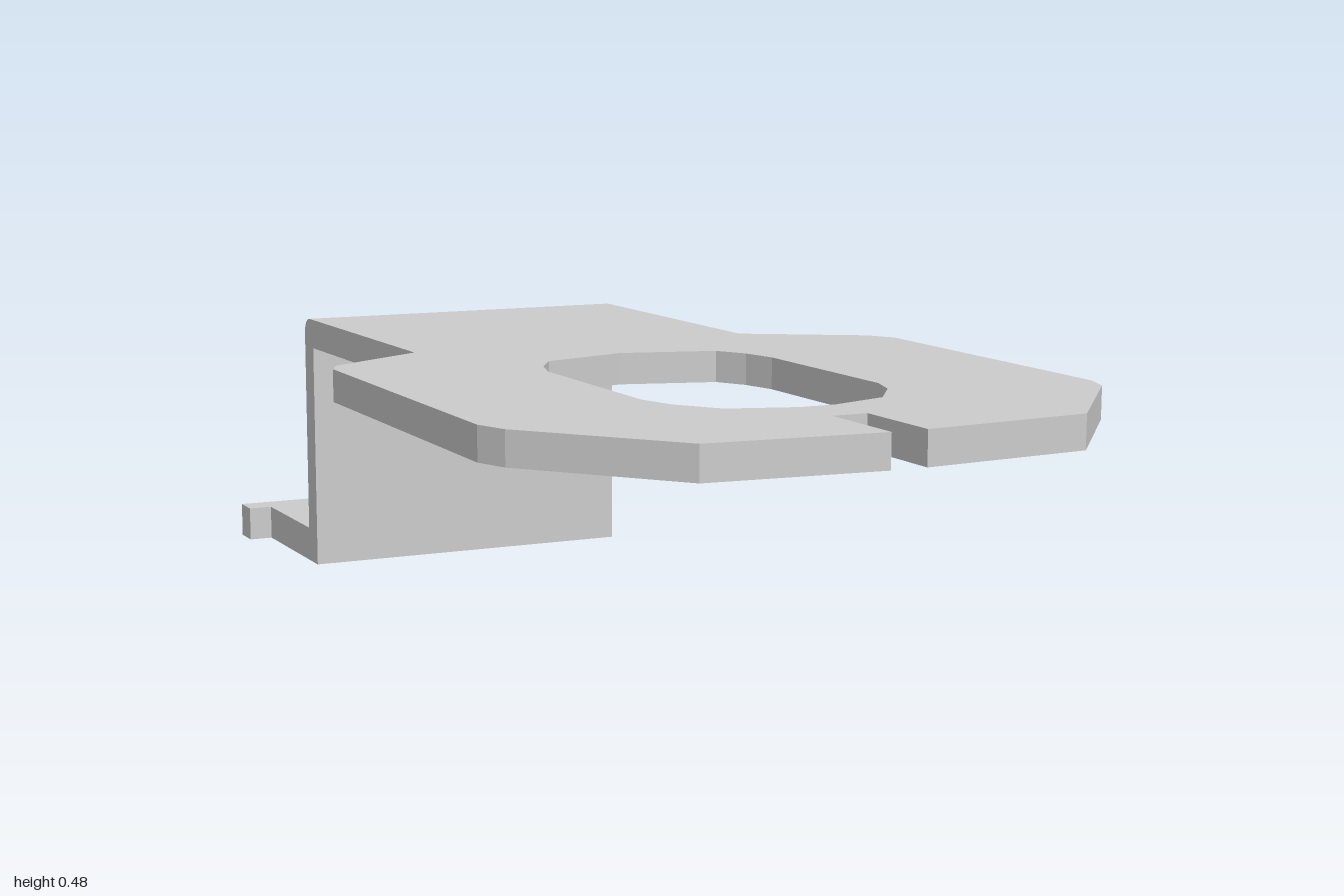
import * as THREE from 'three';

const PLATE_BOTTOM = 0.428, PLATE_TOP = 0.483;
const LEFT = 0.31, RIGHT = -0.33; // side edges of the bent strip
const JOIN = -0.105;              // z where the strip meets the plate

export function createModel() {
  const group = new THREE.Group();
  const material = new THREE.MeshStandardMaterial({ color: 0xcccccc });
  const add = (name, geometry) => {
    const mesh = new THREE.Mesh(geometry, material);
    mesh.name = name;
    group.add(mesh);
  };
  const toPoints = (list) => list.map(([x, z]) => new THREE.Vector2(x, -z));

  // Faceted plate with an end slot and an oblong opening, drawn as [x, z]
  const plate = new THREE.Shape(toPoints([
    [RIGHT, JOIN], [-0.51, 0], [-0.53, 0.04], [-0.54, 0.69], [-0.52, 0.745], [-0.33, 0.975],
    [-0.04, 1], [-0.04, 0.835], [0.02, 0.835], [0.02, 1],
    [0.31, 0.975], [0.505, 0.745], [0.525, 0.69], [0.538, 0.07], [0.51, 0.02], [LEFT, JOIN],
  ]));
  plate.holes.push(new THREE.Path(toPoints([
    [-0.01, 0.055], [0.155, 0.1], [0.185, 0.155], [0.2, 0.22], [0.2, 0.57], [0.18, 0.63],
    [0.125, 0.705], [0.02, 0.74], [-0.04, 0.74], [-0.15, 0.705], [-0.2, 0.635],
    [-0.22, 0.57], [-0.22, 0.22], [-0.2, 0.155], [-0.165, 0.1],
  ])));
  const plateGeometry = new THREE.ExtrudeGeometry(plate, { depth: PLATE_TOP - PLATE_BOTTOM, bevelEnabled: false });
  plateGeometry.rotateX(-Math.PI / 2).translate(0, PLATE_BOTTOM, 0);
  add('slottedPlate', plateGeometry);

  // Neck, drop and foot as one bent strip, drawn as (z, y) with a rounded top bend
  const r = 0.03;
  const strip = new THREE.Shape();
  strip.moveTo(JOIN, PLATE_TOP);
  strip.lineTo(-0.7 + r, PLATE_TOP);
  strip.absarc(-0.7 + r, PLATE_TOP - r, r, Math.PI / 2, Math.PI, false);
  strip.lineTo(-0.7, 0.065);
  strip.lineTo(-1, 0.065);
  strip.lineTo(-1, 0);
  strip.lineTo(-0.652, 0);
  strip.lineTo(-0.652, PLATE_BOTTOM);
  strip.lineTo(JOIN, PLATE_BOTTOM);
  const stripGeometry = new THREE.ExtrudeGeometry(strip, { depth: LEFT - RIGHT, bevelEnabled: false, curveSegments: 6 });
  stripGeometry.rotateY(-Math.PI / 2).translate(LEFT, 0, 0);
  add('bentStrip', stripGeometry);

  // Small tabs on both sides of the foot's rear edge
  for (const [name, from, to] of [['leftFootTab', LEFT, 0.33], ['rightFootTab', -0.375, RIGHT]]) {
    const tab = new THREE.BoxGeometry(to - from, 0.065, 0.055);
    add(name, tab.translate((from + to) / 2, 0.0325, -0.9725));
  }
  return group;
}
